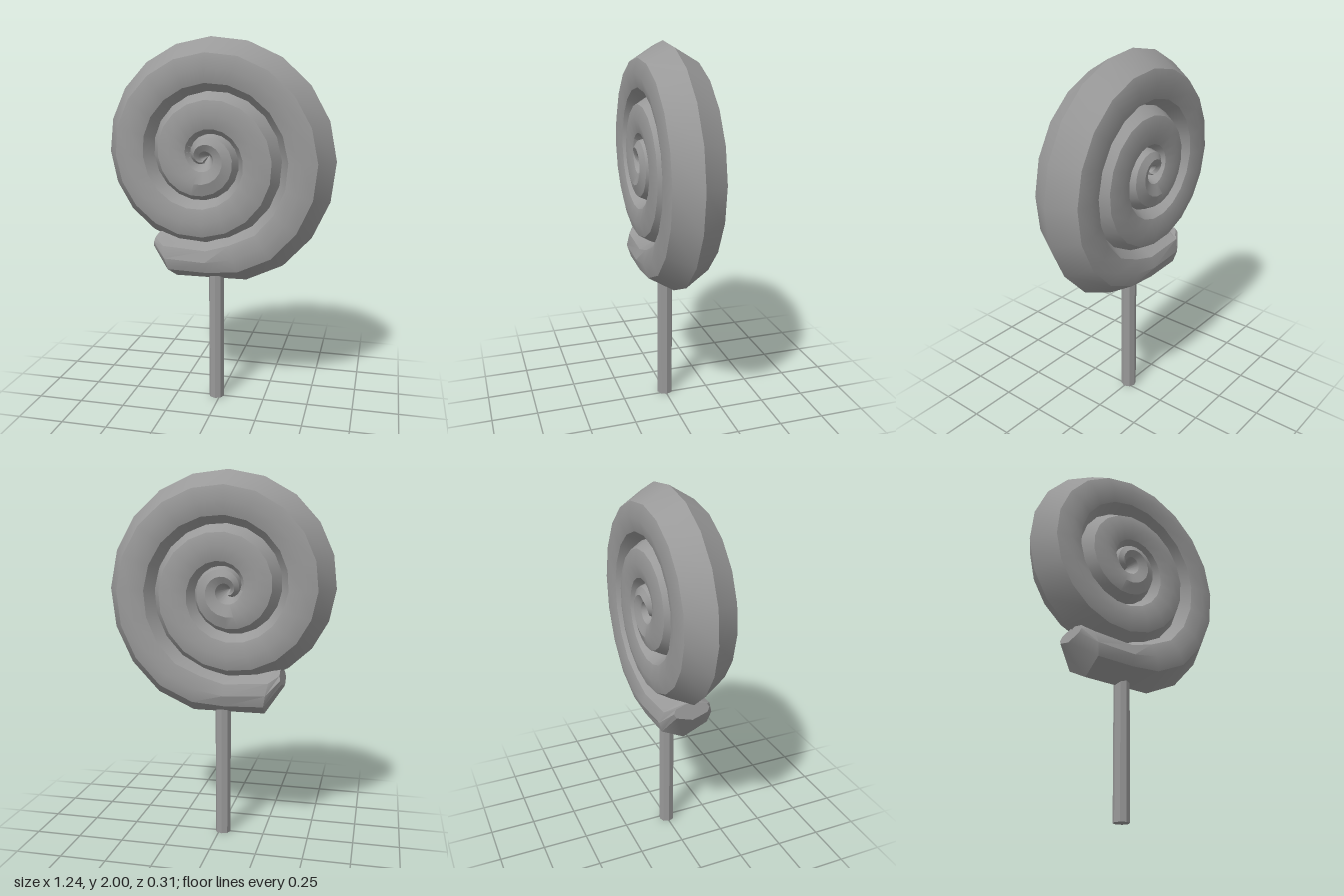
import * as THREE from 'three';
import { toCreasedNormals } from 'three/addons/utils/BufferGeometryUtils.js';

const CX = -0.06, CY = 1.384;     // centre of the swirl
const PITCH = 0.235, WIDTH = 0.314, DEPTH = 0.156;

// Cross-section: [fraction from outer to inner edge, fraction of depth]
const SECTION = [[0, 0], [0.26, 0.87], [0.5, 1], [0.74, 0.87], [1, 0], [0.74, -0.87], [0.5, -1], [0.26, -0.87]];

function swirlGeometry() {
  // Each station: outer edge point, inner edge point, half depth
  const stations = [
    [-0.36, 0.87, -0.335, 0.965, 0.1],
    [-0.25, 0.706, -0.3, 0.975, 0.15],
    [-0.05, 0.706, -0.05, 0.955, DEPTH],
  ];
  for (let k = -4; ; k++) {
    const a = (k * 18 - 1) * Math.PI / 180;
    // The first station is pulled in to meet the straight tail
    const outer = 0.677 - PITCH * k / 20 - (k === -4 ? 0.016 : 0);
    if (outer < 0.035) break;
    const inner = Math.max(0, outer - WIDTH);
    const c = Math.cos(a), s = Math.sin(a);
    const depth = DEPTH * Math.min(1, 0.6 + outer * 3);
    stations.push([CX + outer * c, CY + outer * s, CX + inner * c, CY + inner * s, depth]);
  }

  const n = SECTION.length, pos = [], idx = [];
  for (const [ox, oy, ix, iy, d] of stations)
    for (const [u, w] of SECTION) pos.push(ox + (ix - ox) * u, oy + (iy - oy) * u, w * d);
  for (let i = 0; i < stations.length - 1; i++)
    for (let j = 0; j < n; j++) {
      const a = i * n + j, b = i * n + (j + 1) % n;
      idx.push(a, a + n, b + n, a, b + n, b);
    }
  // End caps
  const last = (stations.length - 1) * n;
  for (let j = 1; j < n - 1; j++) {
    idx.push(0, j, j + 1);
    idx.push(last, last + j + 1, last + j);
  }
  const g = new THREE.BufferGeometry();
  g.setAttribute('position', new THREE.Float32BufferAttribute(pos, 3));
  g.setIndex(idx);
  return toCreasedNormals(g, 0.6);
}

export function createModel() {
  const group = new THREE.Group();
  const material = new THREE.MeshStandardMaterial({ color: 0x999999 });

  // Coiled candy with a tapered tail
  const swirl = new THREE.Mesh(swirlGeometry(), material);
  swirl.name = 'candySwirl';
  group.add(swirl);

  // Eight-sided stick
  const stickGeo = toCreasedNormals(new THREE.CylinderGeometry(0.043, 0.043, 0.8, 8), 0.5);
  const stick = new THREE.Mesh(stickGeo, material);
  stick.name = 'stick';
  stick.position.set(-0.02, 0.4, 0);
  group.add(stick);

  return group;
}
